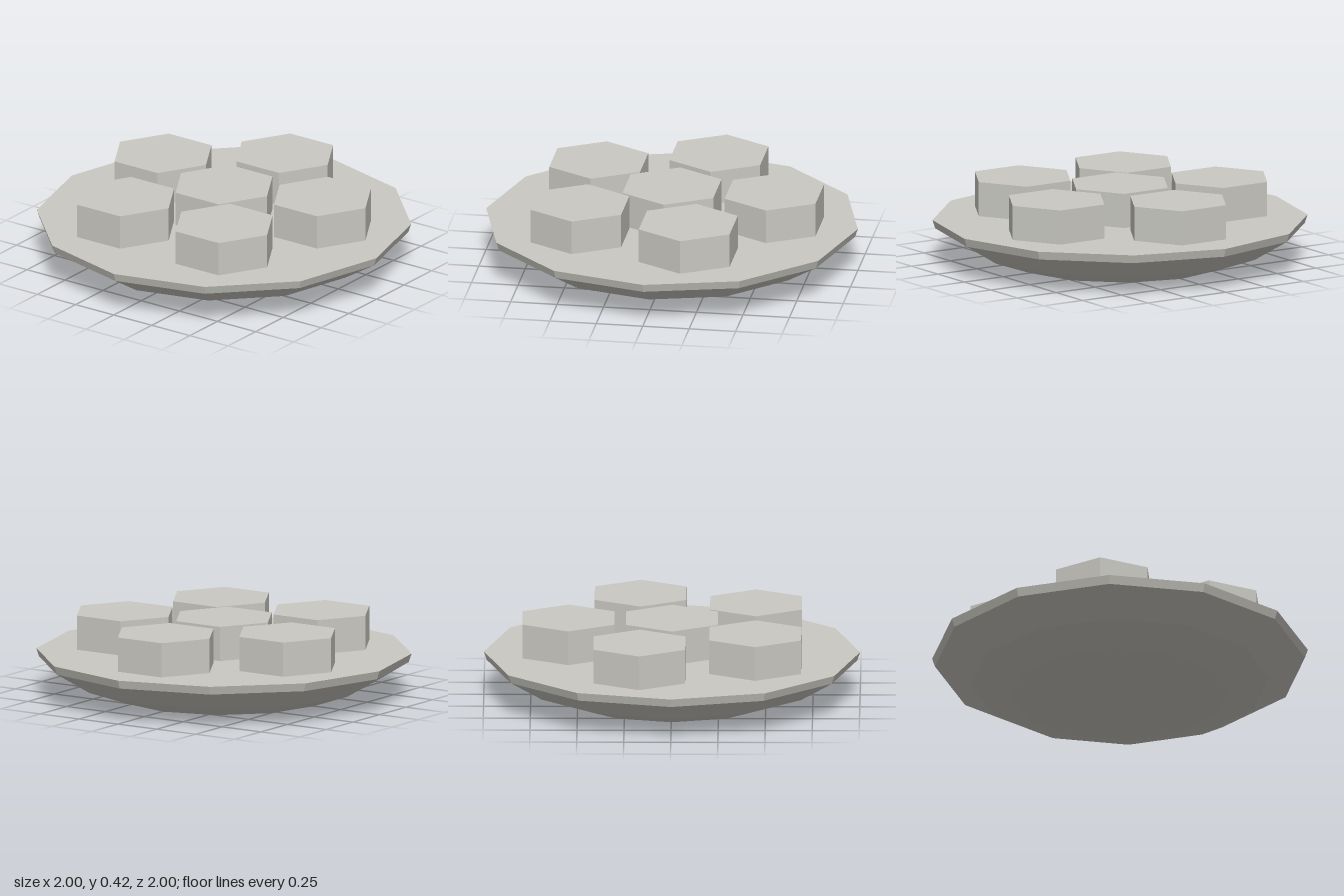
import * as THREE from 'three';

export function createModel() {
  const model = new THREE.Group();
  model.name = 'studdedDish';
  const stone = new THREE.MeshStandardMaterial({ color: 0xcac9c2, flatShading: true });
  stone.name = 'paleStone';

  // Twelve-sided dish: flat foot, two sloped bands, a thin rim and a flat top
  const profile = [[0, 0], [0.58, 0], [0.795, 0.075], [0.985, 0.19], [1, 0.235], [0, 0.235]]
    .map(([x, y]) => new THREE.Vector2(x, y));
  const dish = new THREE.Mesh(new THREE.LatheGeometry(profile, 12), stone);
  dish.name = 'dish';
  model.add(dish);

  // Hexagonal studs: one in the middle, five in a ring around it
  const bottom = 0.235, top = 0.42;
  const studGeometry = new THREE.CylinderGeometry(0.282, 0.282, top - bottom, 6, 1, false, Math.PI / 2);
  const addStud = (name, x, z) => {
    const stud = new THREE.Mesh(studGeometry, stone);
    stud.name = name;
    stud.position.set(x, (bottom + top) / 2, z);
    model.add(stud);
  };
  addStud('centreStud', 0, 0);
  for (let i = 0; i < 5; i++) {
    const a = (i / 5) * Math.PI * 2;
    addStud('ringStud' + (i + 1), 0.55 * Math.sin(a), -0.55 * Math.cos(a));
  }
  return model;
}
